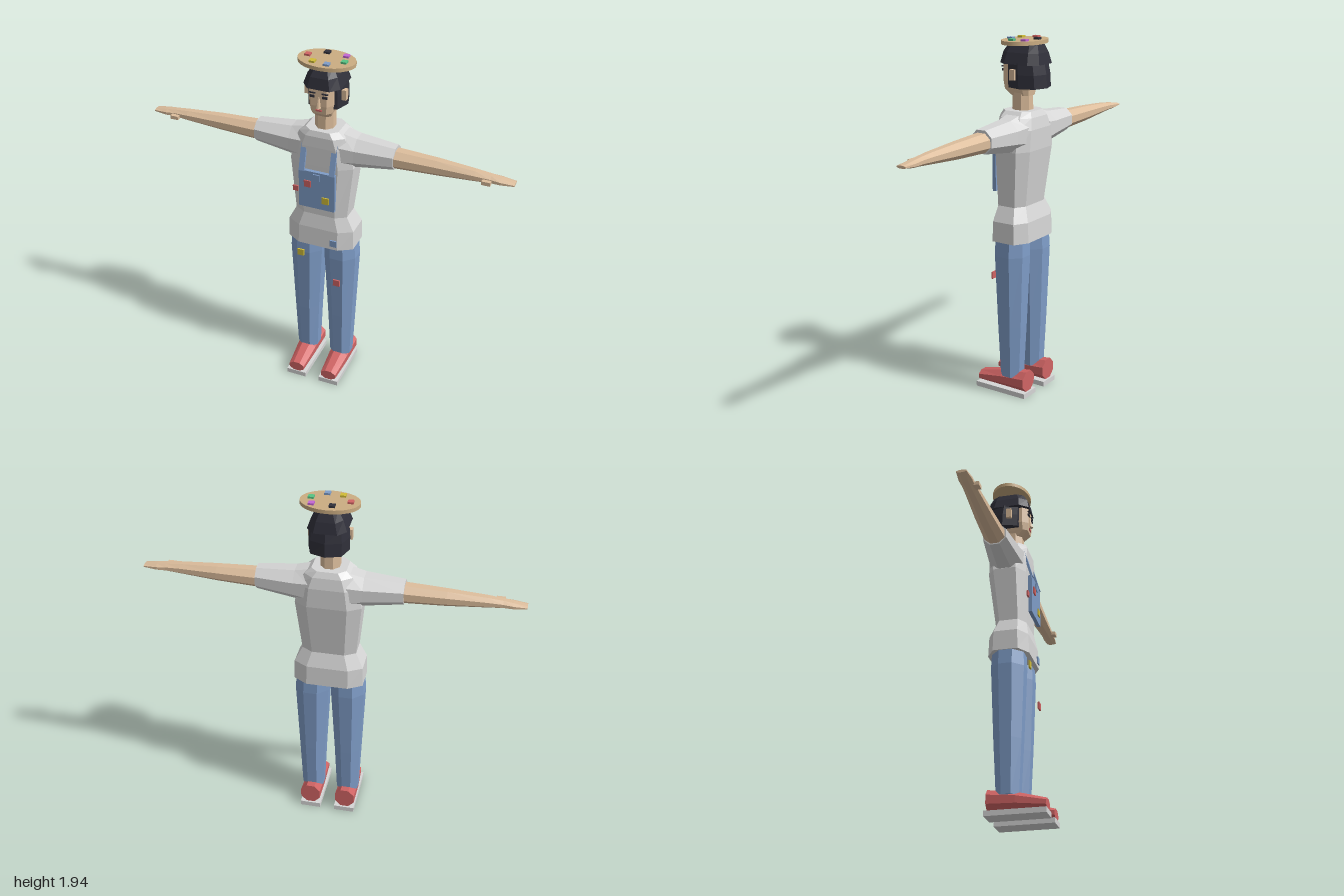
import * as THREE from 'three';

const mat = (name, color) => {
  const m = new THREE.MeshStandardMaterial({ color });
  m.name = name;
  return m;
};

// Axis order (u, v, t) for each loft direction, all right-handed
const ORDER = { x: [1, 2, 0], y: [2, 0, 1], z: [0, 1, 2] };

// Eight-sided loft; ring = [t, centreU, centreV, radiusU, radiusV].
// k sets the corner cut: 0.41 is a regular octagon, 1 is a box. point = true puts corners on the axes.
function loft(axis, rings, k = 0.414, point = false) {
  const section = point
    ? [[1, 0], [0.75, 0.75], [0, 1], [-0.75, 0.75], [-1, 0], [-0.75, -0.75], [0, -1], [0.75, -0.75]]
    : [[1, -k], [1, k], [k, 1], [-k, 1], [-1, k], [-1, -k], [-k, -1], [k, -1]];
  const sorted = [...rings].sort((a, b) => a[0] - b[0]);
  const order = ORDER[axis], pos = [], idx = [], n = 8;
  const put = (u, v, t) => {
    const p = [0, 0, 0];
    [u, v, t].forEach((c, i) => { p[order[i]] = c; });
    pos.push(...p);
  };
  for (const [t, cu, cv, ru, rv] of sorted) for (const [a, b] of section) put(cu + a * ru, cv + b * rv, t);
  for (let r = 0; r < sorted.length - 1; r++) {
    for (let i = 0; i < n; i++) {
      const j = (i + 1) % n, a = r * n + i, b = r * n + j;
      idx.push(a, b, b + n, a, b + n, a + n);
    }
  }
  const top = (sorted.length - 1) * n;
  for (let i = 1; i < n - 1; i++) idx.push(0, i + 1, i, top, top + i, top + i + 1);
  const g = new THREE.BufferGeometry();
  g.setAttribute('position', new THREE.Float32BufferAttribute(pos, 3));
  g.setIndex(idx);
  const flat = g.toNonIndexed();
  flat.computeVertexNormals();
  return flat;
}

export function createModel() {
  const root = new THREE.Group();
  const skin = mat('skin', 0xdcbd9c), tan = mat('wood tan', 0xcbad82), grey = mat('light grey', 0xd6d6d6);
  const denim = mat('denim blue', 0x7f9dc8), red = mat('red', 0xd06464), yellow = mat('yellow', 0xd0bc38);
  const dark = mat('dark hair', 0x30303a), green = mat('green', 0x58c484), purple = mat('purple', 0xc468d4);

  const add = (name, geometry, material) => {
    const m = new THREE.Mesh(geometry, material);
    m.name = name;
    root.add(m);
    return m;
  };
  const box = (name, material, w, h, d, x, y, z) => {
    const m = add(name, new THREE.BoxGeometry(w, h, d), material);
    m.position.set(x, y, z);
    return m;
  };

  // Shirt body
  add('shirt', loft('y', [
    [0.88, -0.025, 0, 0.112, 0.187], [0.99, -0.025, 0, 0.107, 0.185], [1.07, -0.018, 0, 0.085, 0.145],
    [1.37, -0.035, 0, 0.105, 0.175], [1.48, -0.035, 0, 0.105, 0.155], [1.54, -0.03, 0, 0.098, 0.125],
    [1.57, -0.027, 0, 0.085, 0.09],
  ], 0.6), grey);

  for (const s of [1, -1]) {
    const side = s > 0 ? 'left' : 'right';
    // Sleeve, arm and hand
    add(side + 'Sleeve', loft('x', [
      [s * 0.1, 1.455, -0.035, 0.1, 0.095], [s * 0.18, 1.455, -0.035, 0.082, 0.085],
      [s * 0.385, 1.46, -0.033, 0.06, 0.063],
    ]), grey);
    add(side + 'Arm', loft('x', [
      [s * 0.37, 1.456, -0.033, 0.05, 0.056], [s * 0.6, 1.456, -0.033, 0.041, 0.046],
      [s * 0.8, 1.456, -0.03, 0.028, 0.036], [s * 0.88, 1.455, -0.03, 0.021, 0.032],
      [s * 0.93, 1.453, -0.03, 0.017, 0.034], [s, 1.452, -0.03, 0.007, 0.026],
    ]), skin);
    box(side + 'Thumb', skin, 0.045, 0.02, 0.035, s * 0.865, 1.45, 0.008);
    // Trouser leg
    add(side + 'TrouserLeg', loft('y', [
      [0.105, -0.025, s * 0.1, 0.06, 0.06], [0.4, -0.025, s * 0.1, 0.074, 0.072],
      [0.8, -0.025, s * 0.098, 0.089, 0.091], [0.95, -0.025, s * 0.092, 0.083, 0.085],
    ]), denim);
    // Shoe and sole
    add(side + 'Shoe', loft('z', [
      [-0.13, s * 0.1, 0.086, 0.055, 0.057], [0.02, s * 0.1, 0.077, 0.054, 0.046],
      [0.175, s * 0.098, 0.056, 0.044, 0.028],
    ]), red);
    box(side + 'Sole', grey, 0.115, 0.028, 0.32, s * 0.098, 0.014, 0.02);
    // Bib strap, leaning back to the shoulder
    box(side + 'Strap', denim, 0.03, 0.165, 0.012, s * 0.084, 1.425, 0.076).rotation.x = -0.27;
    // Ear, eye and brow
    box(side + 'Ear', skin, 0.025, 0.055, 0.03, s * 0.1, 1.76, -0.03);
    box(side + 'Eye', dark, 0.026, 0.012, 0.008, s * 0.034, 1.773, 0.07);
    box(side + 'Brow', dark, 0.034, 0.006, 0.008, s * 0.034, 1.792, 0.07);
  }

  // Bib and its paint patches
  box('bib', denim, 0.2, 0.22, 0.02, 0, 1.24, 0.09);
  const patches = [
    [red, -0.05, 1.275, 0.102], [yellow, 0.05, 1.19, 0.102], [denim, 0, 1.32, 0.102],
    [red, -0.125, 1.222, 0.085], [denim, 0.09, 0.92, 0.088], [yellow, -0.1, 0.815, 0.088], [red, 0.11, 0.663, 0.088],
  ];
  for (const [m, x, y, z] of patches) {
    const size = x === -0.125 ? 0.03 : 0.038;
    box('paintPatch', m, size, size, 0.009, x, y, z);
  }

  // Neck and head
  add('neck', loft('y', [[1.54, -0.025, 0, 0.053, 0.05], [1.7, -0.025, 0, 0.05, 0.05]]), skin);
  add('head', loft('y', [
    [1.645, -0.025, 0, 0.055, 0.045], [1.675, -0.01, 0, 0.073, 0.055], [1.72, -0.02, 0, 0.088, 0.064],
    [1.83, -0.02, 0, 0.088, 0.066],
  ], 0.65), skin);
  add('nose', loft('y', [
    [1.712, 0.068, 0, 0.018, 0.012], [1.77, 0.066, 0, 0.004, 0.005],
  ]), skin);
  box('mouth', red, 0.032, 0.009, 0.008, 0, 1.696, 0.067);

  // Bobbed hair: sides and back, then the crown with fringe
  add('hairBob', loft('y', [
    [1.69, -0.068, 0, 0.107, 0.105], [1.76, -0.065, 0, 0.105, 0.106], [1.82, -0.058, 0, 0.1, 0.1],
  ], 0.5, true), dark);
  add('hairCrown', loft('y', [
    [1.812, -0.045, 0, 0.12, 0.1], [1.87, -0.045, 0, 0.108, 0.08], [1.918, -0.05, 0, 0.085, 0.052],
  ], 0.6), dark);

  // Palette hat with paint dabs
  const hat = add('paletteHat', new THREE.CylinderGeometry(0.152, 0.152, 0.02, 24), tan);
  hat.scale.z = 0.7;
  hat.position.set(0, 1.923, -0.038);
  const dabs = [
    [dark, -0.022, -0.1], [purple, 0.083, -0.092], [green, 0.098, -0.025],
    [denim, 0.027, 0.03], [yellow, -0.053, 0.02], [red, -0.103, -0.042],
  ];
  for (const [m, x, z] of dabs) box('paintDab', m, 0.03, 0.012, 0.03, x, 1.937, z);

  return root;
}
